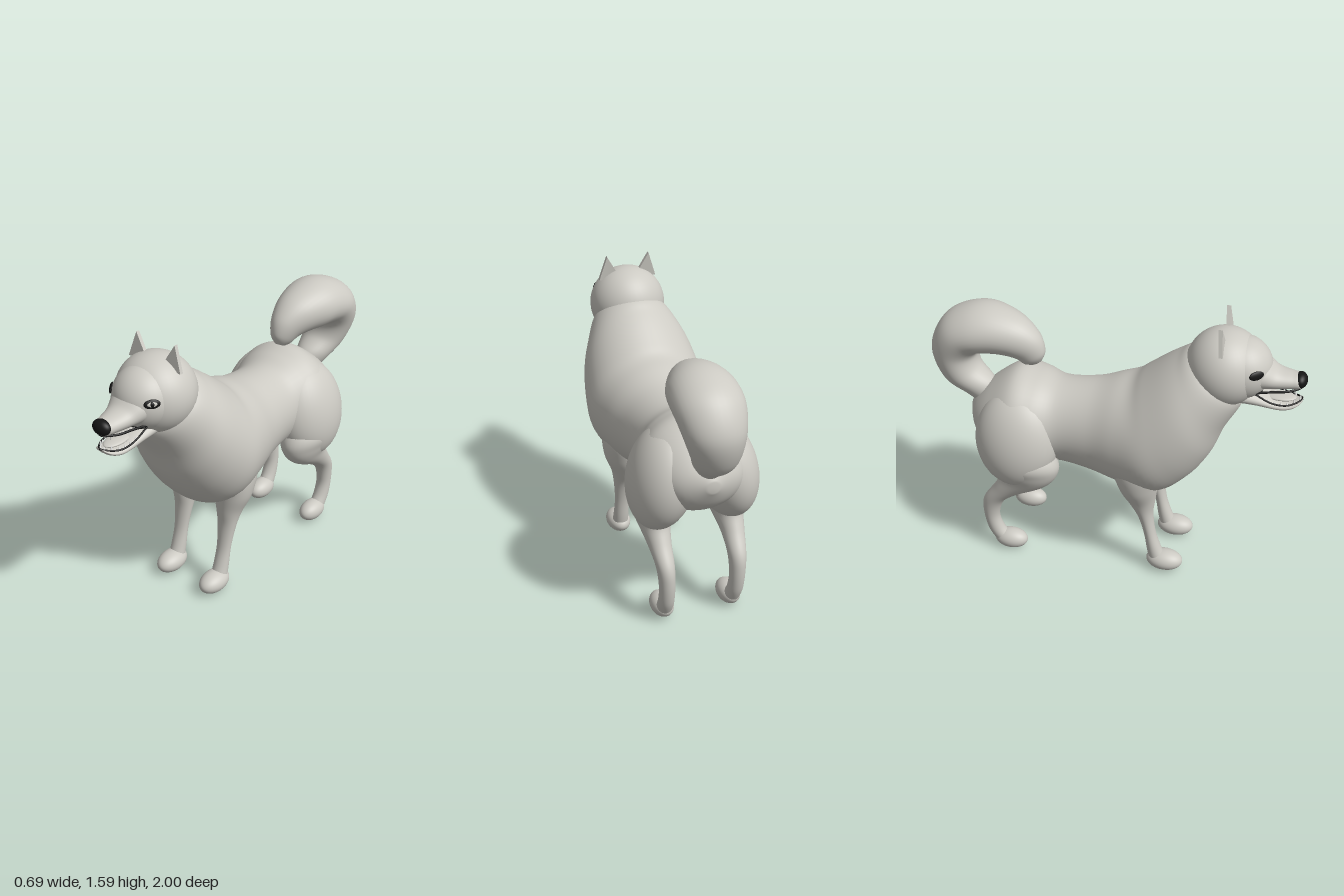
import * as THREE from 'three';

// Loft of ellipses. Section: [z1, y1, z2, y2, halfWidth, x]; the two (z, y) points end one axis.
function loft(sections, sub = 6, seg = 36) {
  const n = sections.length, rows = [];
  const get = (i, k) => sections[Math.max(0, Math.min(n - 1, i))][k] ?? 0;
  for (let i = 0; i < n - 1; i++) {
    for (let s = 0; s < sub + (i === n - 2 ? 1 : 0); s++) {
      const t = s / sub;
      rows.push([0, 1, 2, 3, 4, 5].map((k) => {
        const a = get(i - 1, k), b = get(i, k), c = get(i + 1, k), d = get(i + 2, k);
        return b + 0.5 * t * (c - a + t * (2 * a - 5 * b + 4 * c - d + t * (3 * (b - c) + d - a)));
      }));
    }
  }
  const pos = [], idx = [];
  for (const [z1, y1, z2, y2, w, x] of rows) {
    for (let j = 0; j < seg; j++) {
      const a = (j / seg) * Math.PI * 2, s = Math.sin(a) / 2;
      pos.push(x + w * Math.cos(a), (y1 + y2) / 2 + s * (y1 - y2), (z1 + z2) / 2 + s * (z1 - z2));
    }
  }
  const last = rows.length - 1;
  for (let i = 0; i < last; i++) {
    for (let j = 0; j < seg; j++) {
      const a = i * seg + j, b = i * seg + (j + 1) % seg;
      idx.push(a, b, a + seg, b, b + seg, a + seg);
    }
  }
  // end caps
  for (const r of [0, last]) {
    const [z1, y1, z2, y2, , x] = rows[r], c = pos.length / 3;
    pos.push(x, (y1 + y2) / 2, (z1 + z2) / 2);
    for (let j = 0; j < seg; j++) {
      const a = r * seg + j, b = r * seg + (j + 1) % seg;
      if (r) idx.push(c, a, b); else idx.push(c, b, a);
    }
  }
  const g = new THREE.BufferGeometry();
  g.setAttribute('position', new THREE.Float32BufferAttribute(pos, 3));
  g.setIndex(idx);
  g.computeVertexNormals();
  return g;
}

export function createModel() {
  const model = new THREE.Group();
  model.name = 'dog';
  const material = (name, color) => {
    const m = new THREE.MeshStandardMaterial({ color });
    m.name = name;
    return m;
  };
  const fur = material('grey fur', 0xcccac3);
  const black = material('black', 0x151515);
  const white = material('white', 0xf2f2f0);

  const add = (name, geometry, mat = fur, parent = model) => {
    const mesh = new THREE.Mesh(geometry, mat);
    mesh.name = name;
    parent.add(mesh);
    return mesh;
  };
  const ball = (name, [x, y, z], [rx, ry, rz], mat = fur, parent = model) => {
    const mesh = add(name, new THREE.SphereGeometry(1, 40, 28), mat, parent);
    mesh.position.set(x, y, z);
    mesh.scale.set(rx, ry, rz);
    return mesh;
  };

  // Trunk and neck, rump to throat, closing inside the head
  add('body', loft([
    [-0.785, 0.87, -0.785, 0.81, 0.03],
    [-0.74, 0.94, -0.72, 0.70, 0.155],
    [-0.65, 1.03, -0.62, 0.63, 0.235],
    [-0.52, 1.115, -0.50, 0.60, 0.28],
    [-0.40, 1.10, -0.40, 0.60, 0.27],
    [-0.28, 1.07, -0.25, 0.595, 0.23],
    [-0.10, 1.09, -0.08, 0.57, 0.25],
    [0.03, 1.135, 0.09, 0.535, 0.295],
    [0.11, 1.163, 0.30, 0.525, 0.332],
    [0.17, 1.21, 0.45, 0.645, 0.327],
    [0.27, 1.29, 0.55, 0.80, 0.302],
    [0.34, 1.34, 0.61, 0.965, 0.26],
    [0.40, 1.38, 0.69, 1.125, 0.205],
    [0.50, 1.40, 0.68, 1.20, 0.13],
  ], 6, 48));

  // Curled tail, root to tip
  add('tail', loft([
    [-0.74, 0.86, -0.64, 0.98, 0.06, 0],
    [-0.82, 0.92, -0.675, 1.02, 0.09, 0.01],
    [-0.94, 1.01, -0.74, 1.08, 0.12, 0.02],
    [-1.00, 1.19, -0.755, 1.14, 0.15, 0.035],
    [-0.93, 1.355, -0.73, 1.18, 0.172, 0.04],
    [-0.80, 1.435, -0.68, 1.19, 0.175, 0.04],
    [-0.66, 1.453, -0.62, 1.19, 0.16, 0.04],
    [-0.50, 1.405, -0.57, 1.185, 0.125, 0.03],
    [-0.40, 1.32, -0.52, 1.17, 0.085, 0.02],
    [-0.37, 1.23, -0.49, 1.145, 0.055, 0.015],
    [-0.39, 1.17, -0.45, 1.14, 0.025, 0.015],
  ]));

  // Head
  const head = new THREE.Group();
  head.name = 'head';
  model.add(head);
  ball('skull', [0, 1.31, 0.58], [0.207, 0.205, 0.2], fur, head);
  ball('face', [0, 1.32, 0.66], [0.165, 0.165, 0.165], fur, head);
  add('upperMuzzle', loft([
    [0.70, 1.43, 0.72, 1.225, 0.14],
    [0.79, 1.385, 0.79, 1.23, 0.108],
    [0.85, 1.34, 0.85, 1.235, 0.083],
    [0.92, 1.325, 0.92, 1.24, 0.064],
    [0.96, 1.32, 0.97, 1.245, 0.052],
    [0.985, 1.29, 0.985, 1.255, 0.03],
  ]), fur, head);
  add('lowerJaw', loft([
    [0.68, 1.23, 0.66, 1.13, 0.10],
    [0.78, 1.20, 0.76, 1.128, 0.088],
    [0.86, 1.172, 0.86, 1.116, 0.076],
    [0.92, 1.165, 0.91, 1.118, 0.066],
    [0.965, 1.172, 0.955, 1.137, 0.05],
    [0.988, 1.18, 0.982, 1.163, 0.025],
  ]), fur, head);
  ball('tongue', [0, 1.175, 0.87], [0.045, 0.014, 0.085], fur, head);
  ball('nose', [0, 1.287, 0.964], [0.053, 0.04, 0.036], black, head);
  ball('mouthInside', [0, 1.215, 0.765], [0.075, 0.014, 0.022], black, head);

  // Lips and teeth follow the open mouth
  const lip = (name, radius, points) => {
    const half = points.map((p) => new THREE.Vector3(...p));
    const other = half.slice(0, -1).reverse().map((p) => new THREE.Vector3(-p.x, p.y, p.z));
    const curve = new THREE.CatmullRomCurve3([...half, ...other]);
    add(name, new THREE.TubeGeometry(curve, 40, radius, 8), black, head);
    return curve;
  };
  const upper = lip('upperLip', 0.006,
    [[0.09, 1.23, 0.755], [0.074, 1.24, 0.84], [0.053, 1.244, 0.92], [0, 1.248, 0.976]]);
  const lower = lip('lowerLip', 0.0045,
    [[0.09, 1.222, 0.755], [0.077, 1.172, 0.84], [0.06, 1.162, 0.92], [0, 1.176, 0.985]]);
  for (const [curve, dir] of [[upper, -1], [lower, 1]]) {
    for (let i = 0; i < 12; i++) {
      const p = curve.getPoint(0.14 + 0.72 * i / 11);
      const long = i === 4 || i === 7 ? 0.03 : 0.015;
      const tooth = add('tooth', new THREE.ConeGeometry(0.006, long, 8), white, head);
      tooth.position.set(p.x * 0.9, p.y + dir * long * 0.5, p.z - 0.008);
      if (dir < 0) tooth.rotation.x = Math.PI;
    }
  }

  for (const s of [1, -1]) {
    const side = s > 0 ? 'left' : 'right';

    // Thin upright ear, steep on the outside
    const outline = new THREE.Shape([[0.04, -0.03], [0.162, -0.03], [0.119, 0.105]]
      .map(([x, y]) => new THREE.Vector2(s * x, y)));
    const ear = add(side + 'Ear', new THREE.ExtrudeGeometry(outline, { depth: 0.02, bevelEnabled: false }), fur, head);
    ear.position.set(0, 1.483, 0.566);
    ear.rotation.x = -0.1;

    // Eye set flat on the face
    const eye = new THREE.Group();
    eye.name = side + 'Eye';
    eye.position.set(s * 0.129, 1.36, 0.757);
    eye.lookAt(s * 0.129 * 2, 1.40, 0.757 + 0.098);
    head.add(eye);
    ball('eyeRim', [0, 0, 0], [0.041, 0.023, 0.009], black, eye);
    if (s > 0) {
      ball('eyeWhite', [0, 0, 0.002], [0.03, 0.0155, 0.009], fur, eye);
      ball('pupil', [0, 0, 0.004], [0.013, 0.014, 0.009], black, eye);
    }

    // Foreleg, from inside the shoulder to the ankle
    const legX = (rows) => rows.map((r) => [...r.slice(0, 5), s * r[5]]);
    add(side + 'FrontLeg', loft(legX([
      [0.24, 0.84, 0.12, 0.84, 0.04, 0.20],
      [0.30, 0.72, 0.05, 0.70, 0.085, 0.19],
      [0.29, 0.60, 0.08, 0.56, 0.1, 0.165],
      [0.275, 0.48, 0.13, 0.46, 0.07, 0.153],
      [0.265, 0.38, 0.18, 0.37, 0.054, 0.15],
      [0.28, 0.25, 0.215, 0.25, 0.042, 0.15],
      [0.31, 0.15, 0.235, 0.13, 0.043, 0.15],
      [0.34, 0.08, 0.25, 0.06, 0.045, 0.15],
    ])));
    ball(side + 'FrontPaw', [s * 0.15, 0.062, 0.335], [0.067, 0.058, 0.102]);

    // Haunch leaning in at the top, and hind leg, which starts inside it
    ball(side + 'Haunch', [s * 0.168, 0.78, -0.485], [0.17, 0.28, 0.23]).rotation.z = s * 0.22;
    add(side + 'HindLeg', loft(legX([
      [-0.36, 0.82, -0.60, 0.82, 0.07, 0.18],
      [-0.265, 0.69, -0.67, 0.70, 0.13, 0.2],
      [-0.255, 0.60, -0.625, 0.61, 0.115, 0.2],
      [-0.32, 0.51, -0.58, 0.55, 0.088, 0.2],
      [-0.48, 0.42, -0.62, 0.46, 0.062, 0.2],
      [-0.575, 0.34, -0.69, 0.35, 0.048, 0.195],
      [-0.61, 0.23, -0.70, 0.25, 0.042, 0.192],
      [-0.59, 0.14, -0.68, 0.13, 0.042, 0.19],
      [-0.54, 0.07, -0.64, 0.05, 0.042, 0.187],
    ])));
    ball(side + 'HindPaw', [s * 0.186, 0.06, -0.55], [0.061, 0.058, 0.095]);
  }
  return model;
}
